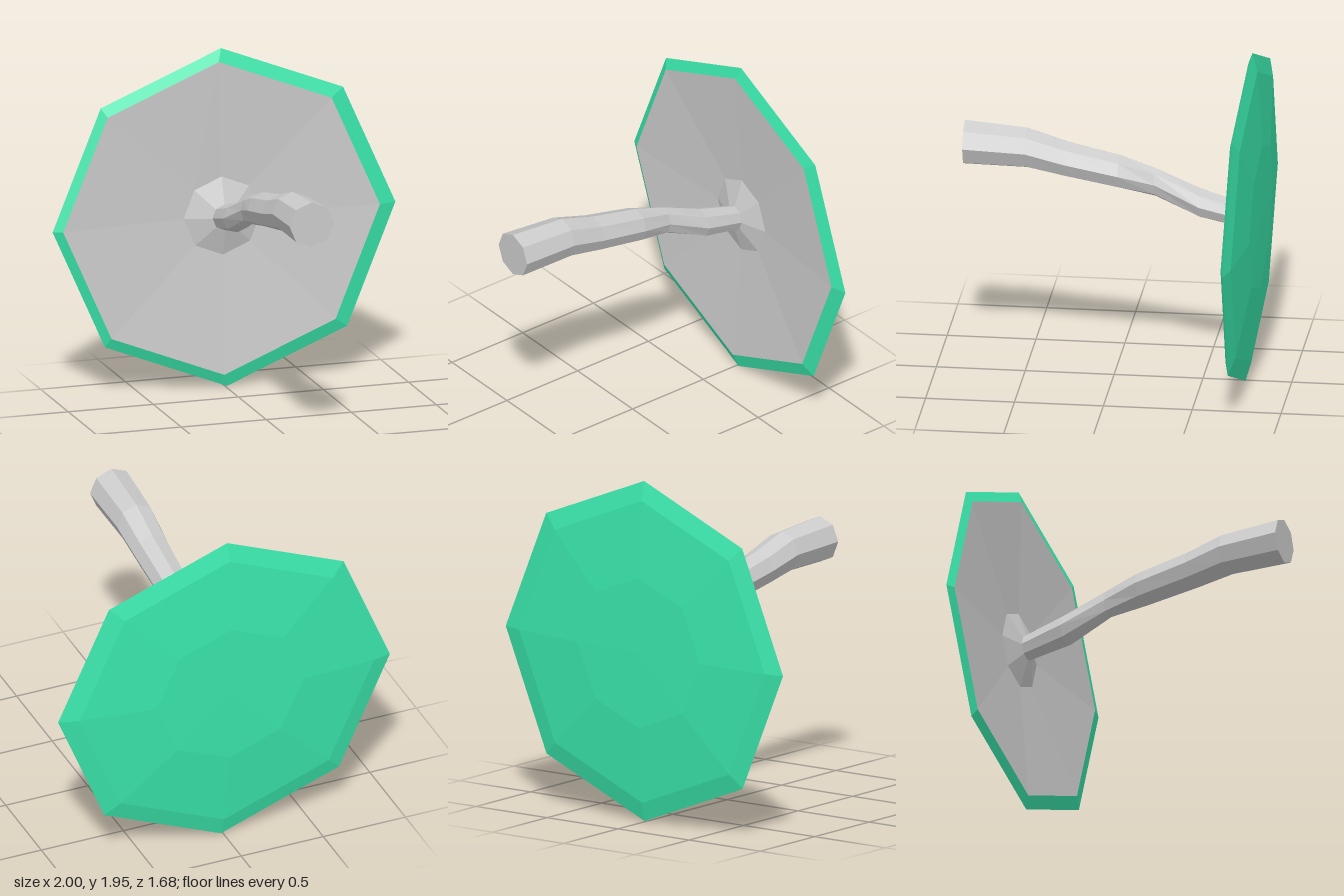
import * as THREE from 'three';

const SIDES = 8;
const CENTRE_Y = 0.975;

// Joins eight-sided rings, listed front to back, into one faceted skin.
// Each ring is [x, y, z, radiusX, radiusY]; a ring of radius 0 is a closing point.
function loft(name, rings, color, { turn = 0, tiltX = 0, tiltY = 0 } = {}) {
  const points = rings.map(([x, y, z, rx, ry = rx]) =>
    Array.from({ length: SIDES }, (_, i) => {
      const a = (i / SIDES) * Math.PI * 2 + turn;
      const px = x + rx * Math.cos(a);
      const py = y + ry * Math.sin(a);
      return [px, py, z + tiltX * px + tiltY * (py - CENTRE_Y)];
    }));
  const positions = [];
  for (let r = 0; r < rings.length - 1; r++) {
    const a = points[r];
    const b = points[r + 1];
    for (let i = 0; i < SIDES; i++) {
      const j = (i + 1) % SIDES;
      if (rings[r][3] > 0) positions.push(...a[i], ...b[i], ...a[j]);
      if (rings[r + 1][3] > 0) positions.push(...a[j], ...b[i], ...b[j]);
    }
  }
  const geometry = new THREE.BufferGeometry();
  geometry.setAttribute('position', new THREE.Float32BufferAttribute(positions, 3));
  geometry.computeVertexNormals();
  const mesh = new THREE.Mesh(geometry, new THREE.MeshStandardMaterial({ color, flatShading: true }));
  mesh.name = name;
  return mesh;
}

export function createModel() {
  const group = new THREE.Group();
  group.name = 'mushroom';

  // The cap lies on its side and leans slightly.
  const lean = { turn: 0.012, tiltX: 0.029, tiltY: -0.018 };
  const gillEdge = [-0.022, CENTRE_Y, -0.734, 0.922, 0.903];

  // Cap: narrow front lip, sharp rim, shallow dome behind
  group.add(loft('cap', [
    gillEdge,
    [0, CENTRE_Y, -0.759, 0.998, 0.975],
    [-0.005, CENTRE_Y, -0.788, 0.885, 0.865],
    [-0.01, CENTRE_Y, -0.825, 0.44, 0.43],
    [-0.01, CENTRE_Y, -0.828, 0],
  ], 0x3ae6ac, lean));

  // Underside: shallow hollow with a raised collar round the stem
  group.add(loft('gills', [
    [-0.005, 0.98, -0.72, 0],
    [-0.005, 0.98, -0.725, 0.07],
    [-0.005, 0.98, -0.775, 0.225],
    gillEdge,
  ], 0xcccccc, lean));

  // Stem: bent and tapering, closed at its free end
  group.add(loft('stem', [
    [-0.008, 1.35, 0.84, 0],
    [-0.008, 1.35, 0.84, 0.13],
    [-0.008, 1.332, 0.49, 0.118],
    [-0.008, 1.275, 0.275, 0.108, 0.105],
    [-0.008, 1.213, -0.03, 0.098],
    [-0.014, 1.157, -0.23, 0.062, 0.083],
    [-0.01, 1.045, -0.485, 0.086],
    [-0.007, 0.975, -0.755, 0.068, 0.072],
    [-0.007, 0.975, -0.755, 0],
  ], 0xcccccc));

  return group;
}
